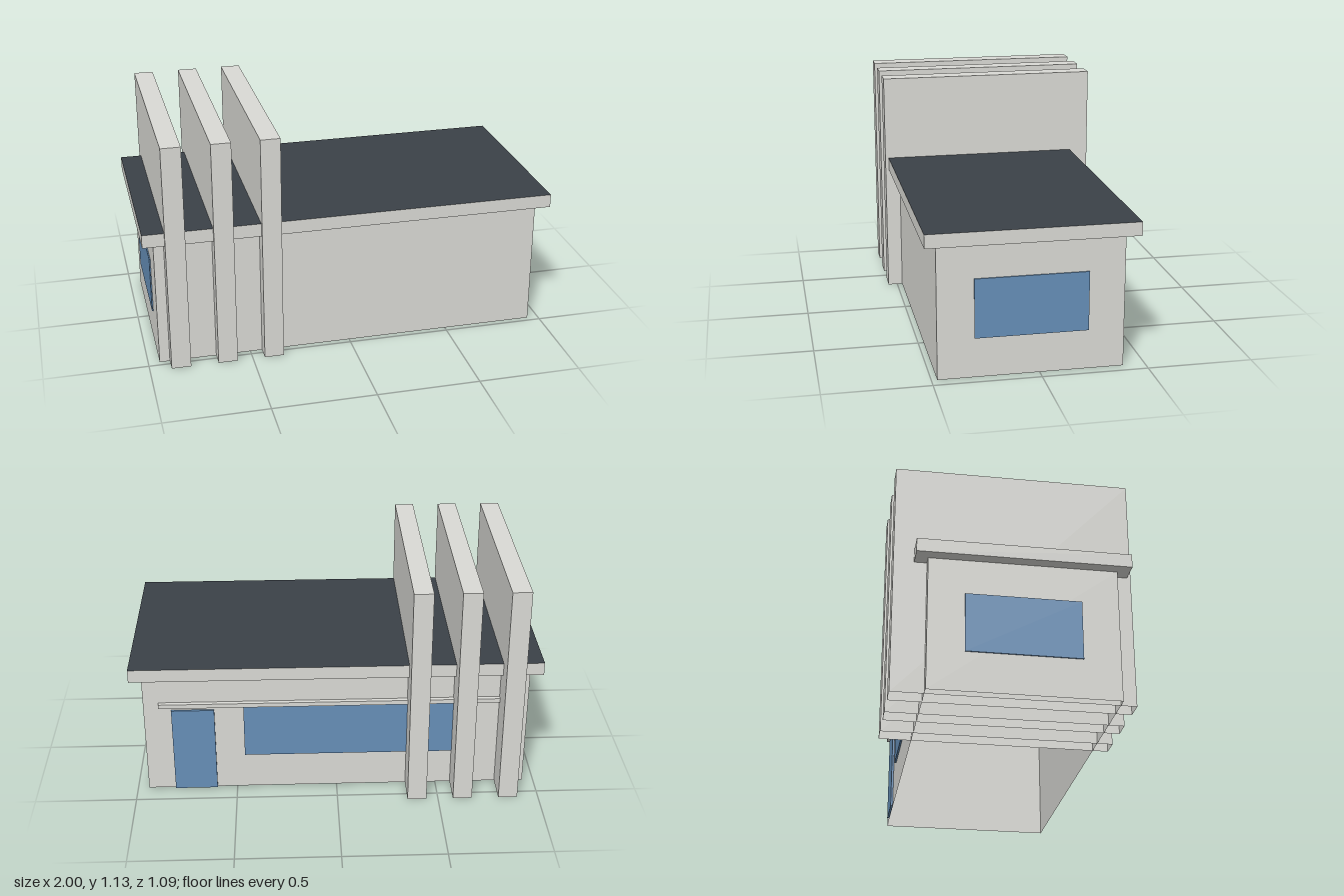
import * as THREE from 'three';

function material(name, color, side = THREE.FrontSide) {
  const m = new THREE.MeshStandardMaterial({ color, side });
  m.name = name;
  return m;
}

export function createModel() {
  const concrete = material('concrete', 0xdadad5, THREE.DoubleSide);
  const roofing = material('darkRoofing', 0x3b4148);
  const glass = material('blueGlass', 0x668fb8);
  const group = new THREE.Group();
  group.name = 'pavilion';

  // Box given by its minimum and maximum along each axis
  function box(name, mat, [x0, x1], [y0, y1], [z0, z1]) {
    const mesh = new THREE.Mesh(new THREE.BoxGeometry(x1 - x0, y1 - y0, z1 - z0), mat);
    mesh.position.set((x0 + x1) / 2, (y0 + y1) / 2, (z0 + z1) / 2);
    mesh.name = name;
    group.add(mesh);
    return mesh;
  }

  // Hollow shell: the same box without its bottom face
  function shell(...args) {
    const { geometry } = box(...args);
    geometry.setIndex(Array.from(geometry.index.array).filter((_, i) => i < 18 || i >= 24));
    geometry.clearGroups();
  }

  // Main block, open underneath
  shell('walls', concrete, [-0.945, 0.945], [0, 0.643], [-0.395, 0.473]);

  // Overhanging roof slab, dark on its top face only
  const slab = [concrete, concrete, roofing, concrete, concrete, concrete];
  box('roof', slab, [-1, 1], [0.643, 0.708], [-0.453, 0.53]);

  // Three tall hollow fins passing through the building
  for (const x of [-0.849, -0.622, -0.395]) {
    shell('fin', concrete, [x - 0.047, x + 0.047], [0, 1.132], [-0.547, 0.547]);
  }

  // Windows on both ends
  for (const s of [-1, 1]) {
    const x = s * 0.949;
    box('endWindow', glass, [x - 0.003, x + 0.003], [0.19, 0.473], [-0.227, 0.302]);
  }

  // Door, long window and ledge on the back wall
  box('door', glass, [0.6, 0.81], [0.001, 0.452], [-0.407, -0.396]);
  box('backWindow', glass, [-0.685, 0.457], [0.19, 0.472], [-0.405, -0.396]);
  box('ledge', concrete, [-0.86, 0.87], [0.472, 0.494], [-0.418, -0.395]);

  return group;
}
